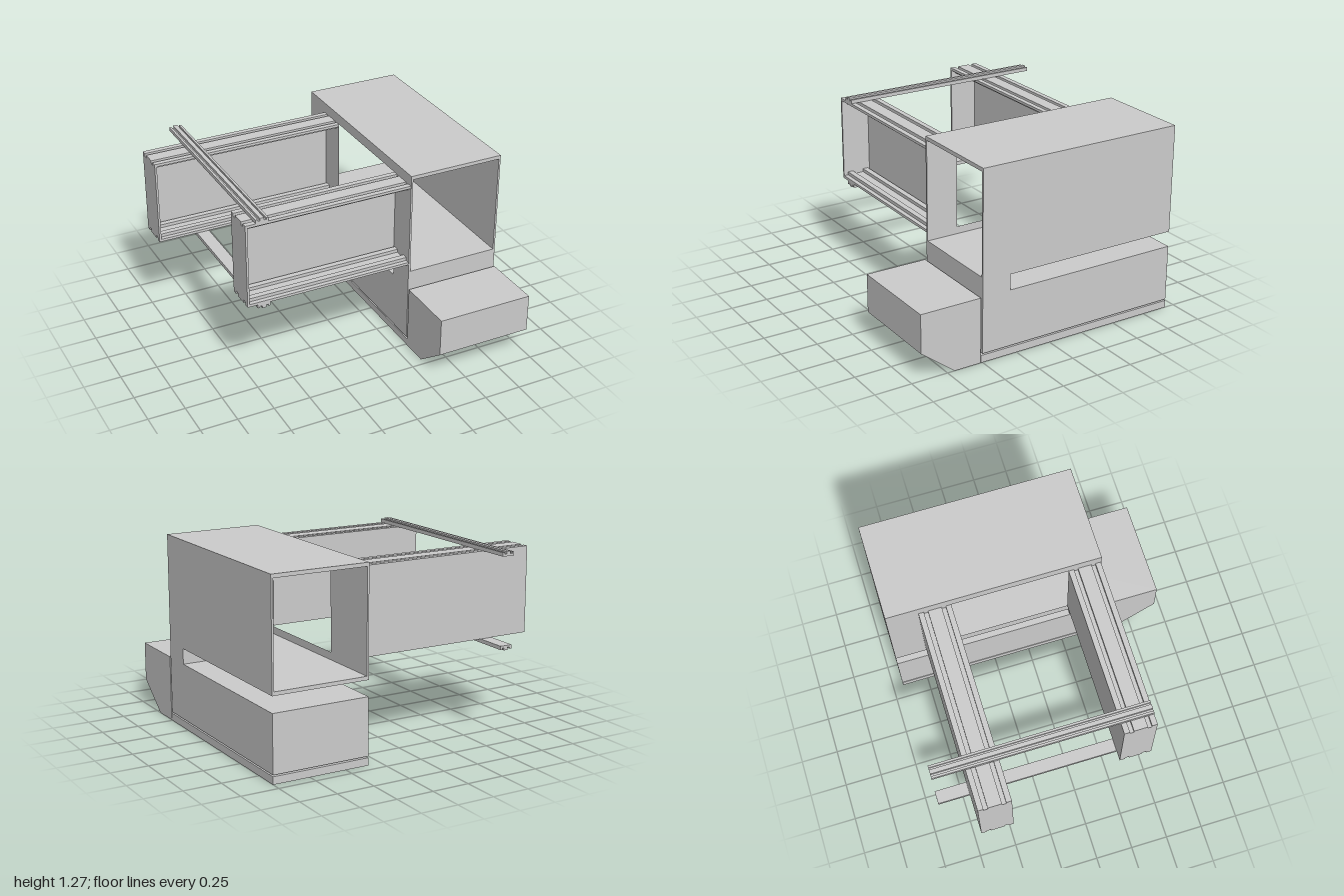
import * as THREE from 'three';

const material = new THREE.MeshStandardMaterial({ color: 0xcccccc });

function add(parent, name, geometry) {
  const mesh = new THREE.Mesh(geometry, material);
  mesh.name = name;
  parent.add(mesh);
  return mesh;
}

// Box given by its limits on each axis
function box(parent, name, [x0, x1], [y0, y1], [z0, z1]) {
  const g = new THREE.BoxGeometry(x1 - x0, y1 - y0, z1 - z0);
  g.translate((x0 + x1) / 2, (y0 + y1) / 2, (z0 + z1) / 2);
  return add(parent, name, g);
}

// Side profile of [z, y] points (with optional holes) extruded along x
function sideExtrude(parent, name, points, x0, x1, holes = []) {
  const toVec = ([z, y]) => new THREE.Vector2(-z, y);
  const shape = new THREE.Shape(points.map(toVec));
  for (const h of holes) shape.holes.push(new THREE.Path(h.map(toVec)));
  const g = new THREE.ExtrudeGeometry(shape, { depth: x1 - x0, bevelEnabled: false });
  g.rotateY(Math.PI / 2);
  g.translate(x0, 0, 0);
  return add(parent, name, g);
}

const rect = (z0, z1, y0, y1) => [[z0, y0], [z1, y0], [z1, y1], [z0, y1]];

const X0 = 0.34, X1 = 1, BACK = -0.93, FRONT = 0.5;

// Tall housing: solid base, slot through the sides, open tunnel above
function buildHousing() {
  const g = new THREE.Group();
  g.name = 'housing';
  const wall = 0.013;
  sideExtrude(g, 'slottedBase', [
    [BACK, 0.06], [FRONT, 0.06], [FRONT, 0.57], [BACK, 0.57],
    [BACK, 0.545], [0.3, 0.545], [0.3, 0.44], [BACK, 0.44],
  ], X0, X1);
  box(g, 'roof', [X0, X1], [1.245, 1.27], [BACK, FRONT]);
  box(g, 'leftWall', [X1 - wall, X1], [0.57, 1.245], [BACK, FRONT]);
  // Wall on the arm side, open between the two arms
  sideExtrude(g, 'rightWall', rect(BACK, FRONT, 0.57, 1.245), X0, X0 + wall,
    [rect(-0.5, 0.28, 0.62, 1.2)]);
  return g;
}

// Thin plate under the housing with a small rectangular opening
function buildBottomPlate(parent) {
  const corners = (x0, x1, z0, z1) =>
    [[x0, -z0], [x1, -z0], [x1, -z1], [x0, -z1]].map(([x, y]) => new THREE.Vector2(x, y));
  const shape = new THREE.Shape(corners(X0, X1, BACK, 0.51));
  shape.holes.push(new THREE.Path(corners(0.59, 0.75, 0, 0.08)));
  const g = new THREE.ExtrudeGeometry(shape, { depth: 0.05, bevelEnabled: false });
  g.rotateX(-Math.PI / 2);
  add(parent, 'bottomPlate', g);
}

// Front box with a sloping underside and a recessed window in the slope
function buildNose() {
  const g = new THREE.Group();
  g.name = 'nose';
  const start = [[0.513, 0], [0.7, 0]];
  const end = [[0.933, 0.18], [0.933, 0.44], [0.513, 0.44]];
  const slopeZ = (y) => 0.7 + 0.233 * y / 0.18;
  const recess = [[slopeZ(0.055), 0.055], [0.7, 0.055], [0.7, 0.13], [slopeZ(0.13), 0.13]];
  sideExtrude(g, 'noseRight', [...start, ...end], X0, 0.59);
  sideExtrude(g, 'noseWindow', [...start, ...recess, ...end], 0.59, 0.75);
  sideExtrude(g, 'noseLeft', [...start, ...end], 0.75, X1);
  return g;
}

// Channel-shaped arm, open to the front, with two grooves along top and bottom
function buildArm(name, xEnd, zc) {
  const g = new THREE.Group();
  g.name = name;
  const half = 0.108, yMid = 0.91, h = 0.29, t = 0.018, depth = 0.022;
  // Upper outline from back to front, offsets from the arm's centre
  const outer = [[-half, h]], inner = [[-half + t, h - t]];
  for (const [a, b] of [[-0.072, -0.045], [0.045, 0.072]]) {
    outer.push([a, h], [a, h - depth], [b, h - depth], [b, h]);
    const e = 0.006, low = h - t - depth;
    inner.push([a - e, h - t], [a - e, low], [b + e, low], [b + e, h - t]);
  }
  outer.push([half, h]);
  inner.push([half, h - t]);
  const flip = (pts) => pts.map(([z, y]) => [z, -y]);
  const place = (pts) => pts.map(([z, y]) => [z + zc, y + yMid]);
  const back = (pts) => [...pts].reverse();
  const channel = [...outer, ...back(inner), ...flip(inner), ...back(flip(outer))];
  const solid = [...outer, ...back(flip(outer))];
  sideExtrude(g, 'channel', place(channel), xEnd + 0.014, X0);
  sideExtrude(g, 'endPlate', place(solid), xEnd, xEnd + 0.014);
  return g;
}

// Grooved cross rail lying over (or under) both arms
function buildCrossRail(name, y, dir) {
  const pts = [[-0.043, 0], [-0.043, 0.025], [-0.028, 0.025], [-0.028, 0.014],
    [-0.014, 0.014], [-0.014, 0.031]];
  const mirrored = pts.map(([x, v]) => [-x, v]).reverse();
  const shape = new THREE.Shape([...pts, ...mirrored].map(([x, v]) =>
    new THREE.Vector2(x - 0.688, y + dir * v)));
  const g = new THREE.ExtrudeGeometry(shape, { depth: FRONT - 0.005 - BACK, bevelEnabled: false });
  g.translate(0, 0, BACK);
  const mesh = new THREE.Mesh(g, material);
  mesh.name = name;
  return mesh;
}

export function createModel() {
  const model = new THREE.Group();
  model.name = 'machine';
  model.add(buildHousing(), buildNose());
  buildBottomPlate(model);
  model.add(
    buildArm('rearArm', -1, -0.61),
    buildArm('frontArm', -0.8, 0.387),
    buildCrossRail('upperCrossRail', 1.2, 1),
    buildCrossRail('lowerCrossRail', 0.62, -1),
  );
  return model;
}
